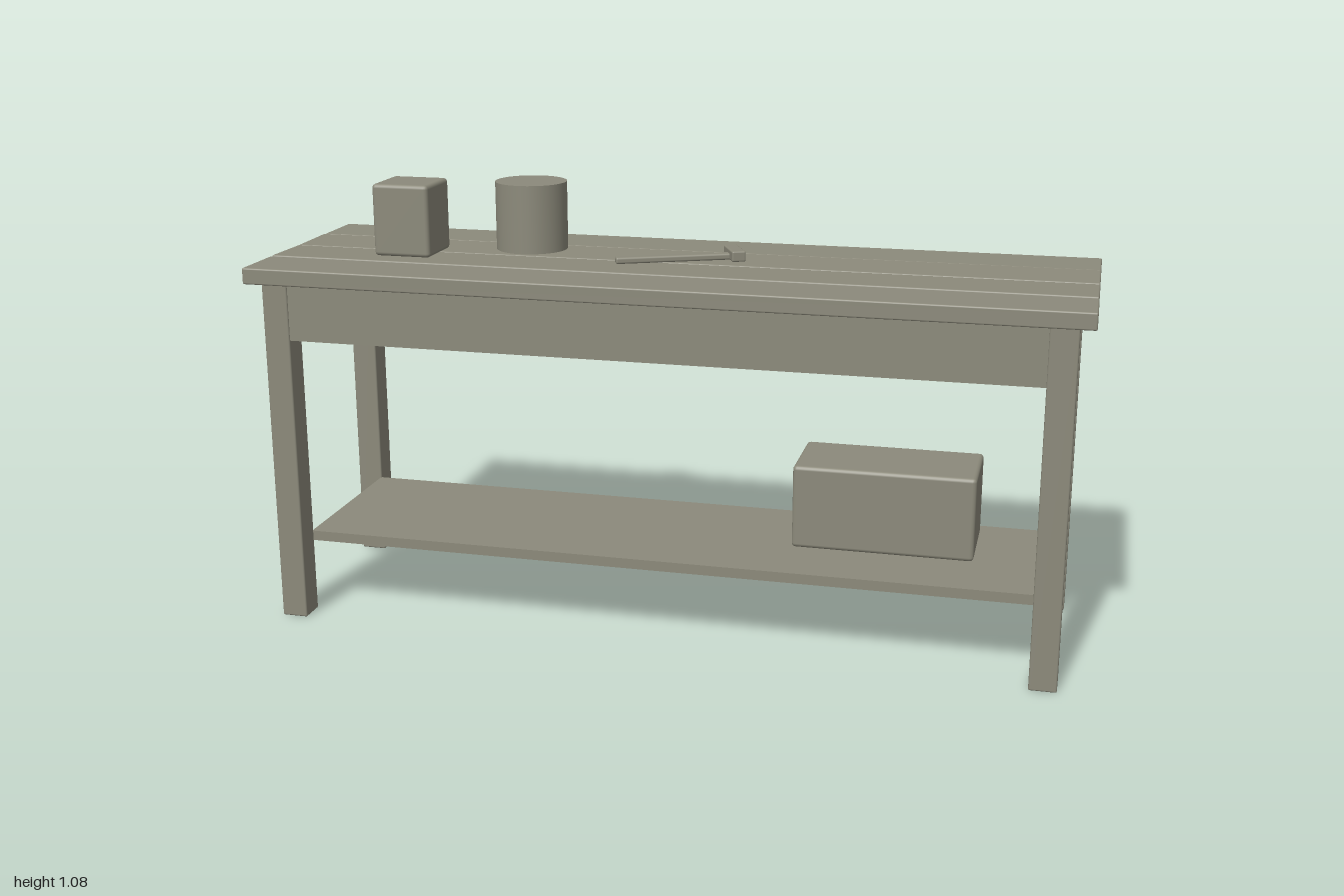
import * as THREE from 'three';
import { RoundedBoxGeometry } from 'three/addons/geometries/RoundedBoxGeometry.js';

export function createModel() {
  const group = new THREE.Group();
  group.name = 'workbench';
  const clay = new THREE.MeshStandardMaterial({ color: 0x8c8a7b });
  clay.name = 'grey clay';

  const add = (name, geometry, x, y, z, parent = group) => {
    const mesh = new THREE.Mesh(geometry, clay);
    mesh.name = name;
    mesh.position.set(x, y, z);
    parent.add(mesh);
    return mesh;
  };
  // softly bevelled block
  const block = (w, h, d, r = 0.004) => new RoundedBoxGeometry(w, h, d, 2, r);

  // four top planks, each laid very slightly askew
  [0.235, 0.077, -0.077, -0.231].forEach((z, i) => {
    const plank = add('topPlank', block(1.996, 0.04, 0.149), 0, 0.88, z);
    plank.rotation.y = [0.0005, -0.001, 0.001, -0.0015][i];
    plank.rotation.x = [0, -0.012, 0.01, 0.006][i];
  });

  // legs
  for (const x of [-0.93, 0.93])
    for (const z of [-0.25, 0.25])
      add('leg', block(0.065, 0.86, 0.067), x, 0.43, z);

  // long aprons under the top
  for (const side of [-1, 1])
    add('apron', new THREE.BoxGeometry(1.8, 0.14, 0.03), 0, 0.79, side * 0.265);

  // lower shelf
  add('shelf', new THREE.BoxGeometry(1.8, 0.025, 0.44), 0, 0.1975, 0);

  // crate on the shelf
  add('crate', block(0.445, 0.21, 0.218, 0.01), 0.522, 0.315, -0.062);

  // small box and tin on the bench
  add('smallBox', block(0.145, 0.178, 0.145, 0.01), -0.677, 0.989, 0.021);
  add('tin', new THREE.CylinderGeometry(0.09, 0.09, 0.17, 32), -0.403, 0.985, -0.101);

  // hammer lying diagonally
  const hammer = new THREE.Group();
  hammer.name = 'hammer';
  hammer.position.set(0, 0.9, 0);
  hammer.rotation.y = 0.44;
  group.add(hammer);
  add('hammerHandle', block(0.29, 0.016, 0.024, 0.005), -0.008, 0.012, -0.002, hammer);
  add('hammerHead', block(0.034, 0.026, 0.095, 0.004), 0.143, 0.017, -0.008, hammer);

  return group;
}
